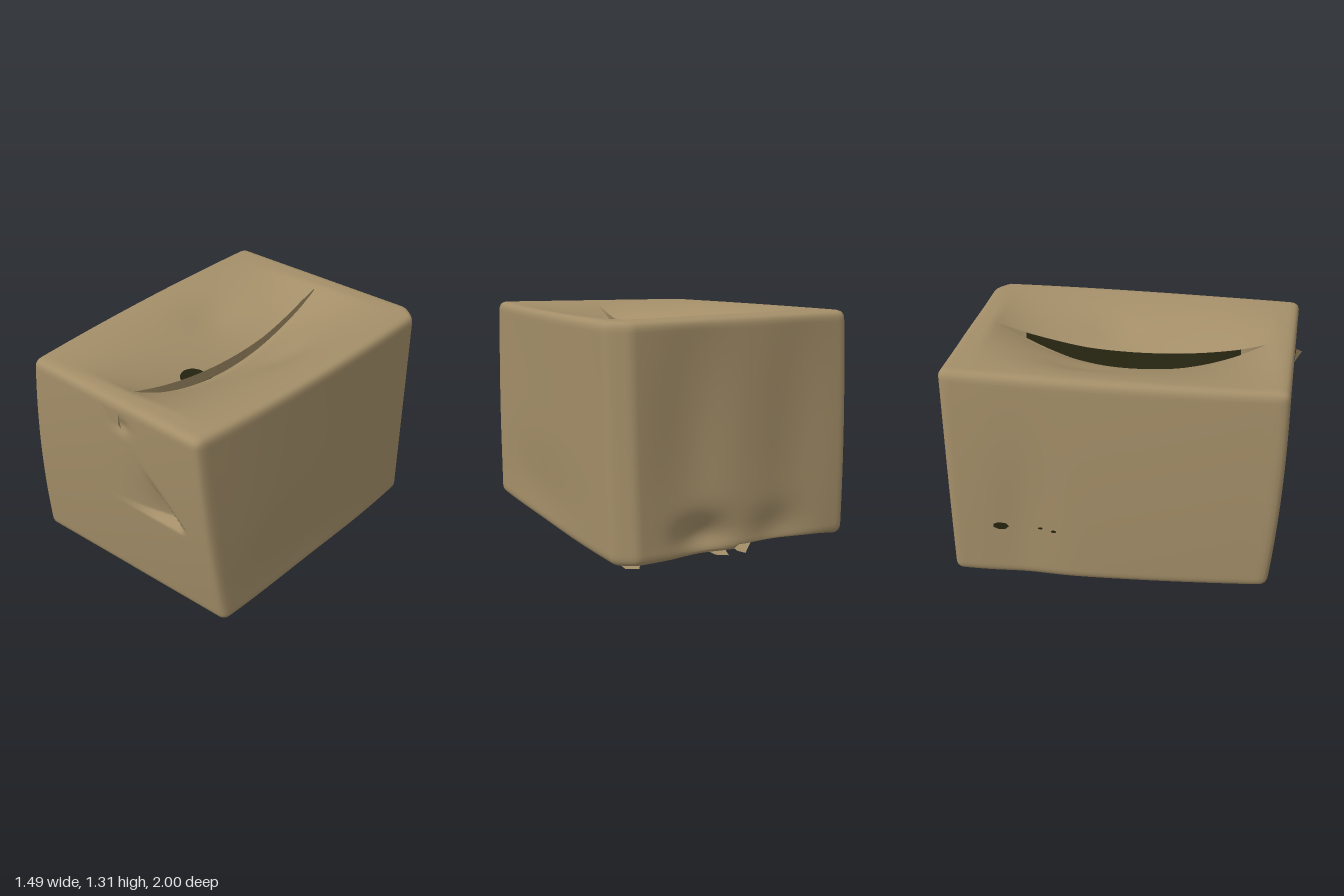
import * as THREE from 'three';
import { mergeVertices } from 'three/addons/utils/BufferGeometryUtils.js';

const HALF = [0.74, 0.63, 0.96], RADIUS = 0.048;
// Box corners, ordered by (x, y, z) sign: --- --+ -+- -++ +-- +-+ ++- +++
const CORNERS = [
  [-0.71, 0.03, -0.98], [-0.72, 0.04, 0.85], [-0.68, 1.315, -1.0], [-0.66, 1.255, 0.91],
  [0.71, 0.015, -0.985], [0.71, 0.03, 0.85], [0.74, 1.3, -0.96], [0.65, 1.275, 1.0],
];
const { clamp, smoothstep, lerp } = THREE.MathUtils;
const bell = (t, centre, width) => Math.exp(-(((t - centre) / width) ** 2));
const arch = (t, reach) => clamp(1 - (t / reach) ** 2, 0, 1);

// Centre line of the top seam, and how far both flaps sag towards it
const seamX = (z) => 0.035 - 0.02 * z;
function topSag(x, z) {
  const d = x - seamX(z);
  const reach = Math.pow(clamp(1 - Math.abs(d) / 0.66, 0, 1), 1.5);
  return arch(z, 0.84) * reach * 0.25;
}

// Triangular crease pushed into the front, deepest at its right-hand point
function frontCrease(x, y) {
  const edge = (x - 0.13) * 0.4 + (y - 1.02) * 0.35;
  const inside = smoothstep(-edge, -0.008, 0.022) * smoothstep(y, 0.59, 0.615);
  return 0.075 * inside * bell(x, 0.48, 0.26) * bell(y, 0.62, 0.24);
}

// Maps a point on the plain box to the rounded, bent and dented carton
function crumple(v) {
  const p = v.toArray();
  const core = p.map((c, i) => clamp(c, -HALF[i] + RADIUS, HALF[i] - RADIUS));
  const off = new THREE.Vector3(...p.map((c, i) => c - core[i])).setLength(RADIUS).toArray();
  const u = p.map((c, i) => (core[i] + off[i]) / HALF[i]);

  const q = new THREE.Vector3();
  CORNERS.forEach((corner, k) => {
    const w = [4, 2, 1].reduce((a, bit, i) => a * (k & bit ? 1 + u[i] : 1 - u[i]) / 2, 1);
    q.addScaledVector(new THREE.Vector3(...corner), w);
  });
  // How much the point belongs to one face, and how far it is from that axis' ends
  const face = (i, sign) => smoothstep(u[i] * sign, 0.85, 0.98);
  const mid = (i) => 1 - u[i] ** 2;
  const { x, y, z } = q;

  // Sides
  q.x += u[0] * 0.03 * mid(2);
  q.x -= smoothstep(-u[0], 0, 1) * 0.015 * mid(1);
  q.x += face(0, -1) * 0.025 * bell(z, -0.55, 0.18) * bell(y, 0.4, 0.5);
  q.x -= face(0, 1) * 0.02 * bell(z, 0.1, 0.5) * bell(y, 0.2, 0.25);

  // Front
  const front = face(2, 1);
  q.z += front * (0.02 * mid(1) - frontCrease(x, y));
  q.z -= front * 0.02 * bell(x, 0.07, 0.06) * bell(y, 1.12, 0.04);

  // Back: a middle ridge between two hollows, a pinch at the foot, a flattened corner
  const back = face(2, -1);
  q.z += back * 0.035 * bell(x, 0.28, 0.22) * mid(1);
  q.z += back * 0.025 * bell(x, -0.36, 0.2) * mid(1);
  q.z += back * 0.07 * bell(x, 0.2, 0.16) * bell(y, 0.12, 0.11);
  q.z += back * 0.03 * bell(x, -0.25, 0.16) * bell(y, 0.12, 0.12);
  q.z += back * 0.07 * smoothstep(u[0], 0.82, 1);

  // Bottom: one flap pushed inwards beside the seam
  const flap = x < -0.01 ? Math.pow(clamp(1 + x / 0.65, 0, 1), 0.8) : 0;
  const push = 0.11 * bell(z, -0.75, 0.5) + 0.05 * bell(z, 0.2, 0.5);
  q.y += face(1, -1) * flap * push * clamp(mid(2) * 8, 0, 1);

  // Top: sagging flaps with shallow dimples
  const top = face(1, 1);
  q.y -= top * topSag(x, z);
  q.y -= top * 0.025 * bell(x, 0.3, 0.12) * bell(z, -0.15, 0.2);
  q.y -= top * 0.025 * bell(x, -0.3, 0.14) * bell(z, -0.25, 0.22);
  return q;
}
const topHeight = (x, z) => crumple(new THREE.Vector3(x / 0.93, HALF[1], z)).y;

function gridFrom(rows) {
  const n = rows[0].length, index = [];
  for (let r = 0; r < rows.length - 1; r++)
    for (let c = 0; c < n - 1; c++) {
      const a = r * n + c;
      index.push(a, a + n, a + 1, a + 1, a + n, a + n + 1);
    }
  const g = new THREE.BufferGeometry().setFromPoints(rows.flat());
  g.setIndex(index);
  g.computeVertexNormals();
  return g;
}

export function createModel() {
  const cardboard = new THREE.MeshStandardMaterial({ color: 0xa38e68, side: THREE.DoubleSide });
  cardboard.name = 'cardboard brown';
  const dark = new THREE.MeshStandardMaterial({ color: 0x262410 });
  dark.name = 'dark opening';

  const model = new THREE.Group();
  model.name = 'crumpledBox';
  const add = (name, geometry, material) => {
    const mesh = new THREE.Mesh(geometry, material);
    mesh.name = name;
    model.add(mesh);
    return mesh;
  };

  // Carton body
  let body = new THREE.BoxGeometry(...HALF.map((h) => h * 2), 72, 64, 72);
  body.deleteAttribute('normal');
  body.deleteAttribute('uv');
  body = mergeVertices(body, 1e-4);
  const pos = body.attributes.position;
  for (let i = 0; i < pos.count; i++) {
    const q = crumple(new THREE.Vector3().fromBufferAttribute(pos, i));
    pos.setXYZ(i, q.x, q.y, q.z);
  }
  body.computeVertexNormals();
  add('cartonBody', body, cardboard);

  // Upturned edge of one top flap: card on its outside, dark on its inside
  const outside = [], inside = [], tearRows = [];
  for (let i = 0; i <= 40; i++) {
    const z = lerp(-0.8, 0.8, i / 40);
    const lean = 0.042 * arch(z, 0.68), rise = 0.1 * arch(z, 0.8);
    const foot = seamX(z) - lean / 2, lip = foot + lean;
    const y = topHeight(foot, z);
    const at = (px, py) => new THREE.Vector3(px, py, z);
    outside.push([at(lip, y + rise), at(foot, y - 0.01)]);
    if (lean > 0.004) inside.push([at(foot - 0.006, y + 0.004), at(lip - 0.005, y + rise)]);
  }
  add('flapEdge', gridFrom(outside), cardboard);
  add('flapEdgeInside', gridFrom(inside), dark);

  // Ragged hole beside the seam
  for (let i = 0; i <= 10; i++) {
    const z = lerp(0.15, 0.4, i / 10), row = [];
    const width = 0.1 * Math.sqrt(clamp(1 - ((z - 0.26) / 0.115) ** 2, 0, 1)) + 0.004;
    for (let c = 0; c <= 5; c++) {
      const x = seamX(z) - 0.012 - width * (1 - c / 5);
      row.push(new THREE.Vector3(x, topHeight(x, z) + 0.008, z));
    }
    tearRows.push(row);
  }
  add('topTear', gridFrom(tearRows), dark);

  // Small tears low on one side
  [[0.36, -0.65, 0.04], [0.36, -0.41, 0.012], [0.35, -0.33, 0.014]].forEach(([y, z, r]) => {
    const v = crumple(new THREE.Vector3(-HALF[0], y - 0.66, z));
    const tear = add('sideTear', new THREE.CircleGeometry(r, 7), dark);
    tear.position.copy(v).add(new THREE.Vector3(-0.006, 0, 0));
    tear.rotation.y = -Math.PI / 2;
    tear.scale.set(1.2, 0.6, 1);
  });

  // Loose folded scraps of card
  const scrap = (name, a, b, c, d) =>
    add(name, gridFrom([[a, b], [c, d]].map((r) => r.map((p) => new THREE.Vector3(...p)))), cardboard);
  scrap('frontFold', [-0.08, 1.21, 0.955], [0.07, 1.2, 0.965], [0.08, 1.11, 0.96], [0.1, 1.17, 1.0]);
  scrap('bottomBackTab', [-0.14, 0.04, -0.9], [0, 0.035, -0.9], [-0.06, 0.002, -0.97], [-0.01, 0.02, -0.97]);
  scrap('bottomSeamTab', [0, 0.03, -0.8], [0.14, 0.02, -0.8], [0.04, 0.0, -0.96], [0.12, 0.012, -0.95]);
  scrap('bottomCornerTab', [0.52, 0.025, -0.85], [0.66, 0.02, -0.85], [0.58, 0.0, -0.95], [0.66, 0.012, -0.95]);
  return model;
}
